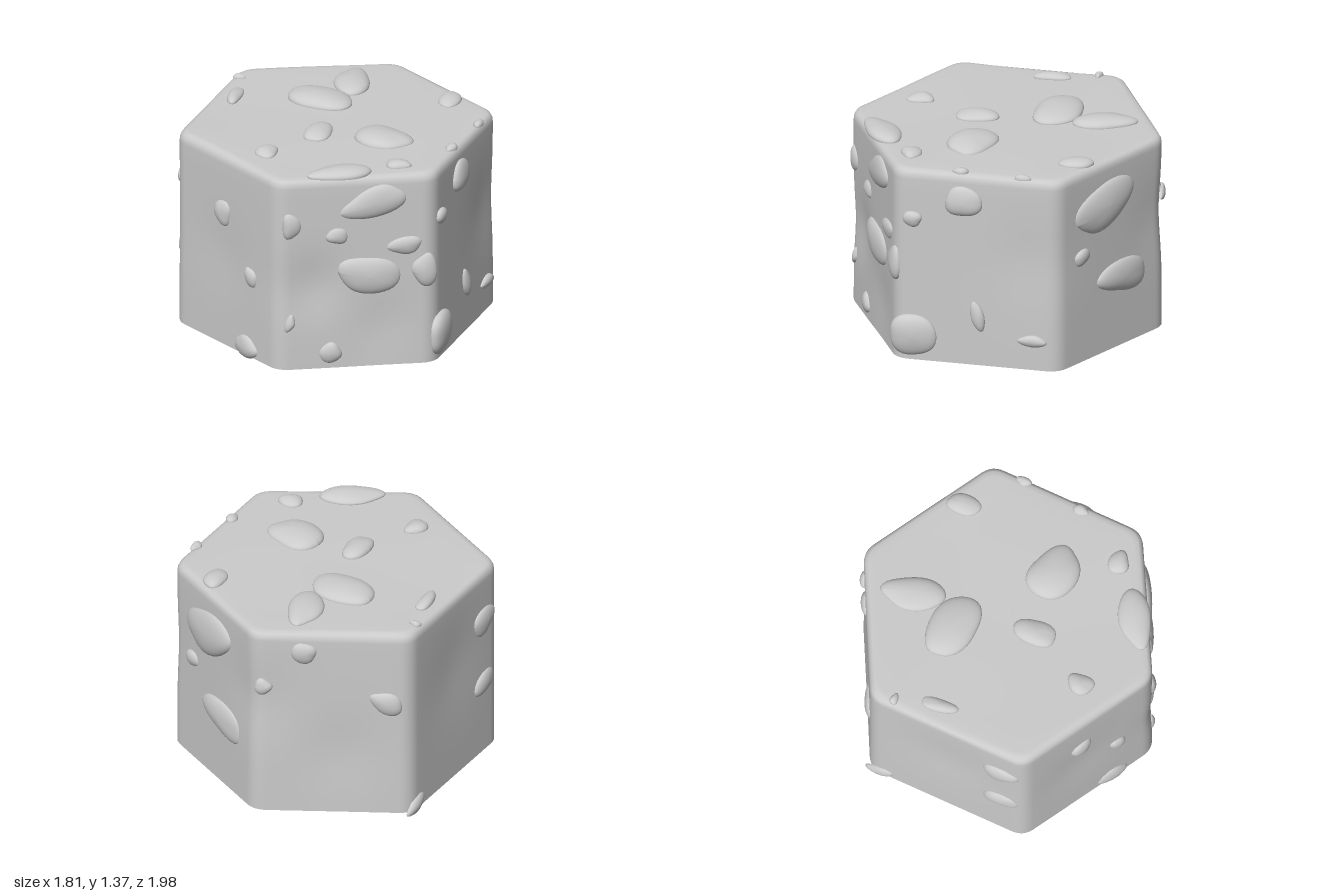
import * as THREE from 'three';

const V = (x, y, z) => new THREE.Vector3(x, y, z);
const material = new THREE.MeshStandardMaterial({ color: 0xcccccc, side: THREE.DoubleSide });

// Hexagon corners, counter-clockwise from above, starting at the front tip
const corners = [[-0.02, 1.0], [0.835, 0.52], [0.835, -0.51], [-0.02, -0.99], [-0.885, -0.53], [-0.885, 0.52]]
  .map(([x, z]) => V(x, 0, z));
const corner = (i) => corners[(i + 6) % 6];

// Rounded hexagon outline: a small curve at each corner, then a subdivided side
function outline() {
  const points = [];
  for (let i = 0; i < 6; i++) {
    const c = corner(i);
    const toward = (a, b, d) => a.clone().add(b.clone().sub(a).setLength(d));
    const start = toward(c, corner(i - 1), 0.08);
    const end = toward(c, corner(i + 1), 0.08);
    points.push(...new THREE.QuadraticBezierCurve3(start, c, end).getPoints(6));
    const next = toward(corner(i + 1), c, 0.08);
    for (let k = 1; k < 14; k++) points.push(end.clone().lerp(next, k / 14));
  }
  return points;
}

// Soft hollows worn into the sides: x, y, z, radius, depth
const dents = [
  [0.15, 0.58, 0.88, 0.2, 0.03], [0.55, 0.3, 0.66, 0.2, 0.015], [-0.5, 0.65, 0.72, 0.25, 0.012],
  [0.83, 0.75, -0.35, 0.25, 0.015], [-0.02, 0.8, -0.97, 0.25, 0.02], [-0.5, 0.45, -0.73, 0.25, 0.015],
  [-0.88, 0.8, 0, 0.3, 0.015],
];

function wear(p) {
  const q = p.clone();
  for (const [x, y, z, r, depth] of dents) {
    const d = p.distanceTo(V(x, y, z)) / r;
    const push = depth * Math.exp(-d * d);
    const len = Math.hypot(p.x, p.z) || 1;
    q.x -= push * p.x / len;
    q.z -= push * p.z / len;
  }
  if (p.y > 1.3) q.y += 0.006 * Math.sin(3 * p.x + 1) * Math.cos(4 * p.z) - 0.008 * Math.exp(-8 * (p.x ** 2 + p.z ** 2));
  return q;
}

// Hexagonal block, open underneath, with a rounded top rim
function makeBlock() {
  const base = outline();
  const n = base.length;
  const rings = [];
  for (let k = 0; k <= 16; k++) rings.push([1, 0.03 + 1.22 * k / 16]);
  rings.push([0.997, 1.275], [0.985, 1.297], [0.965, 1.308], [0.93, 1.312]);
  for (let k = 9; k >= 0; k--) rings.push([0.09 * k + 0.001, 1.312]);
  const positions = [], index = [];
  rings.forEach(([s, y], j) => base.forEach((b, i) => {
    positions.push(...wear(V(b.x * s, y, b.z * s)).toArray());
    if (j === rings.length - 1) return;
    const a = j * n + i, r = j * n + (i + 1) % n;
    index.push(a, r, r + n, a, r + n, a + n);
  }));
  const g = new THREE.BufferGeometry();
  g.setAttribute('position', new THREE.Float32BufferAttribute(positions, 3));
  g.setIndex(index);
  g.computeVertexNormals();
  const mesh = new THREE.Mesh(g, material);
  mesh.name = 'block';
  return mesh;
}

// Domed pebble with an irregular outline, lying in XY and bulging along +Z
function pebbleGeometry(hw, hh, depth, seed) {
  const g = new THREE.SphereGeometry(1, 32, 10, 0, Math.PI * 2, 0, Math.PI * 0.56);
  g.rotateX(Math.PI / 2);
  const p = g.attributes.position;
  for (let i = 0; i < p.count; i++) {
    const x = p.getX(i), y = p.getY(i), z = p.getZ(i);
    const a = Math.atan2(y, x);
    const r = 1 + 0.05 * Math.cos(3 * a + seed * 2.1) + 0.03 * Math.cos(4 * a + seed);
    const taper = 1 + 0.2 * x * Math.sin(seed * 1.7);
    const bulge = 1 + 0.2 * x * Math.cos(seed) + 0.15 * y * Math.sin(seed * 3);
    p.setXYZ(i, x * r * hw, y * r * hh * taper, z * depth * bulge);
  }
  g.computeVertexNormals();
  return g;
}

// Pebbles on each side: fraction along side, height, half width, half height, tilt
const sidePebbles = [
  [[0.61, 1.13, 0.21, 0.1, 0.3], [0.59, 0.645, 0.2, 0.125, -0.15], [0.09, 1.0, 0.06, 0.085, 0],
    [0.38, 0.92, 0.07, 0.055, 0], [0.81, 0.835, 0.11, 0.06, 0.1], [0.08, 0.34, 0.03, 0.058, -0.3],
    [0.34, 0.13, 0.07, 0.07, 0], [0.94, 0.66, 0.08, 0.11, 0.1]],
  [[0.1, 0.2, 0.15, 0.14, 0], [0.42, 1.13, 0.12, 0.1, 0], [0.1, 0.985, 0.06, 0.052, 0],
    [0.5, 0.36, 0.042, 0.1, 0.25], [0.84, 0.225, 0.09, 0.038, 0]],
  [[0.45, 1.03, 0.27, 0.15, 0.25], [0.23, 0.735, 0.07, 0.055, 0.2], [0.6, 0.5, 0.23, 0.11, -0.15]],
  [[0.32, 1.17, 0.08, 0.075, 0], [0.06, 0.92, 0.055, 0.055, 0], [0.84, 0.82, 0.11, 0.075, -0.5]],
  [[0.06, 0.06, 0.1, 0.05, 0.4], [0.85, 0.97, 0.12, 0.09, 0.3], [0.85, 0.52, 0.12, 0.075, 0.2]],
  [[0.45, 0.92, 0.075, 0.085, 0], [0.73, 0.57, 0.055, 0.067, 0.5], [0.69, 0.085, 0.11, 0.075, 0]],
];

// Pebbles on the top: x, z, half width, half height, turn
const topPebbles = [
  [-0.15, -0.58, 0.2, 0.11, -1.25], [-0.25, -0.27, 0.22, 0.15, -0.15], [-0.06, 0.21, 0.085, 0.14, 0.1],
  [0.35, 0.15, 0.19, 0.15, -0.2], [0.51, -0.55, 0.07, 0.11, 0.2], [0.81, -0.28, 0.03, 0.05, 0],
  [0.79, 0.12, 0.035, 0.05, 0], [0.58, 0.48, 0.08, 0.065, 0.2], [-0.25, 0.61, 0.07, 0.085, 0],
  [-0.75, -0.12, 0.045, 0.12, 0.15], [-0.83, -0.39, 0.04, 0.025, 0], [0.29, 0.73, 0.2, 0.1, 0.6],
];

export function createModel() {
  const group = new THREE.Group();
  group.name = 'stoneBlock';
  group.add(makeBlock());
  let seed = 0;

  // Sets a pebble on a surface given its right and up directions
  function addPebble(name, at, right, up, [hw, hh, turn], lift) {
    const normal = right.clone().cross(up);
    const depth = 0.018 + 0.25 * Math.min(hw, hh);
    const mesh = new THREE.Mesh(pebbleGeometry(hw, hh, depth, ++seed), material);
    mesh.quaternion.setFromRotationMatrix(new THREE.Matrix4().makeBasis(right, up, normal));
    mesh.rotateZ(turn);
    mesh.position.copy(at).addScaledVector(normal, lift);
    mesh.name = name;
    group.add(mesh);
  }

  sidePebbles.forEach((list, i) => {
    const a = corner(i), b = corner(i + 1);
    const right = b.clone().sub(a).normalize();
    for (const [t, y, ...size] of list) {
      addPebble('sidePebble', a.clone().lerp(b, t).setY(y), right, V(0, 1, 0), size, i === 1 ? 0.005 : -0.008);
    }
  });
  for (const [x, z, ...size] of topPebbles) {
    addPebble('topPebble', V(x, 1.312, z), V(1, 0, 0), V(0, 0, -1), size, 0);
  }
  return group;
}
